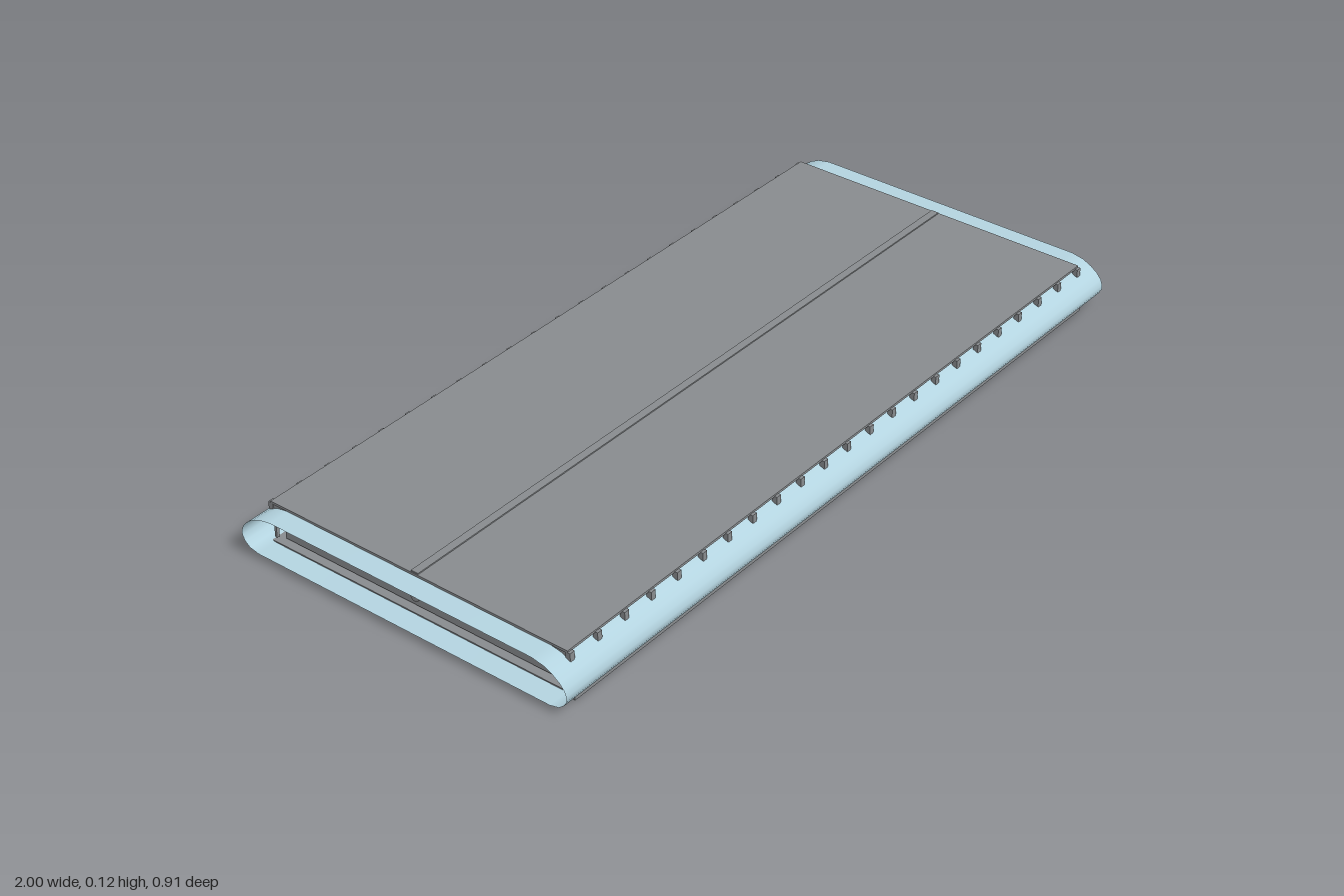
import * as THREE from 'three';

const blue = new THREE.MeshStandardMaterial({ color: 0xb3d3df, side: THREE.DoubleSide });
blue.name = 'pale blue';
const grey = new THREE.MeshStandardMaterial({ color: 0x888b8e });
grey.name = 'mid grey';
const light = new THREE.MeshStandardMaterial({ color: 0xc9cbcd });
light.name = 'light grey';

export function createModel() {
  const root = new THREE.Group();
  root.name = 'flatPanelUnit';

  const add = (name, geometry, material, x = 0, y = 0, z = 0) => {
    const m = new THREE.Mesh(geometry, material);
    m.name = name;
    m.position.set(x, y, z);
    root.add(m);
    return m;
  };
  // Box given by its limits on each axis
  const box = (name, mat, x0, x1, y0, y1, z0, z1) =>
    add(name, new THREE.BoxGeometry(x1 - x0, y1 - y0, z1 - z0), mat,
      (x0 + x1) / 2, (y0 + y1) / 2, (z0 + z1) / 2);

  // Thin sleeve open at both ends: half profile (z, y), mirrored and swept along x
  const half = [[0.41, 0.013], [0.435, 0.019], [0.448, 0.03], [0.455, 0.043], [0.455, 0.055],
    [0.45, 0.069], [0.438, 0.083], [0.42, 0.096], [0.397, 0.107], [0.365, 0.113]];
  const ring = [...half, ...half.map(([z, y]) => [-z, y]).reverse()];
  const pos = [], idx = [];
  ring.forEach(([z, y]) => pos.push(-1, y, z, 1, y, z));
  for (let i = 0; i < ring.length; i++) {
    const a = 2 * i, b = 2 * ((i + 1) % ring.length);
    idx.push(a, a + 1, b, b, a + 1, b + 1);
  }
  const sleeve = new THREE.BufferGeometry();
  sleeve.setAttribute('position', new THREE.Float32BufferAttribute(pos, 3));
  sleeve.setIndex(idx);
  sleeve.computeVertexNormals();
  add('sleeve', sleeve, blue);

  // Cover with end lips and a raised centre strip
  box('cover', grey, -0.947, 0.947, 0.114, 0.12, -0.415, 0.415);
  box('centreStrip', grey, -0.945, 0.945, 0.119, 0.123, -0.01, 0.01);
  for (const s of [-1, 1]) {
    const lip = box('coverEndLip', grey, 0.937, 0.945, 0.1, 0.115, -0.41, 0.41);
    lip.position.x *= s;
  }

  // Rounded hooks hanging from the long edges of the cover
  const tab = new THREE.Shape();
  tab.moveTo(-0.007, 0.116);
  tab.lineTo(-0.007, 0.099);
  tab.absarc(0, 0.099, 0.007, Math.PI, Math.PI * 2, false);
  tab.lineTo(0.007, 0.116);
  const hookGeo = new THREE.ExtrudeGeometry(tab, { depth: 0.013, bevelEnabled: false, curveSegments: 8 });
  for (let i = 0; i < 23; i++) {
    const x = -0.94 + i * 1.88 / 22;
    for (const s of [-1, 1]) {
      add('hook', hookGeo, grey, x, 0, s > 0 ? 0.409 : -0.422);
      box('hookStem', grey, x - 0.004, x + 0.004, 0.024, 0.1, s * 0.411 - 0.003, s * 0.411 + 0.003);
    }
  }

  // Pins under the cover
  for (const x of [-0.9, 0, 0.9]) for (const z of [-0.265, 0.265]) {
    box('coverPin', grey, x - 0.003, x + 0.003, 0.086, 0.115, z - 0.003, z + 0.003);
  }

  // Base plate, edge rails and feet
  box('basePlate', grey, -0.947, 0.947, 0.009, 0.016, -0.42, 0.42);
  for (const z of [-0.424, 0.424]) {
    box('edgeRail', grey, -0.945, 0.945, 0, 0.013, z - 0.006, z + 0.006);
  }
  for (const x of [-0.5, 0.5]) box('foot', grey, x - 0.015, x + 0.015, 0.005, 0.012, -0.37, -0.342);
  add('basePin', new THREE.CylinderGeometry(0.006, 0.006, 0.006, 16), grey, 0, 0.009, 0);

  // Inner core with end board, ports and knob
  box('core', light, -0.91, 0.89, 0.021, 0.065, -0.395, 0.395);
  for (const z of [-0.355, 0.355]) box('coreFoot', grey, -0.88, 0.88, 0.015, 0.022, z - 0.025, z + 0.025);
  box('endBlock', grey, 0.89, 0.915, 0.015, 0.052, -0.218, 0.218);
  for (const [z, w] of [[-0.142, 0.064], [-0.07, 0.06], [0, 0.06], [0.07, 0.06], [0.142, 0.064]]) {
    box('port', blue, 0.889, 0.896, 0.05, 0.062, z - w / 2, z + w / 2);
  }
  box('endBoard', grey, -0.93, -0.91, 0.021, 0.065, -0.395, 0.395);
  for (let i = 0; i < 30; i++) {
    const z = -0.377 + i * 0.026;
    box('ventSlot', light, -0.933, -0.929, 0.05, 0.054, z - 0.005, z + 0.005);
  }
  const knobGeo = new THREE.CylinderGeometry(0.012, 0.012, 0.022, 20).rotateZ(Math.PI / 2);
  add('knob', knobGeo, grey, -0.938, 0.06, 0);
  add('endKnob', knobGeo, grey, 0.9, 0.06, 0);

  return root;
}
